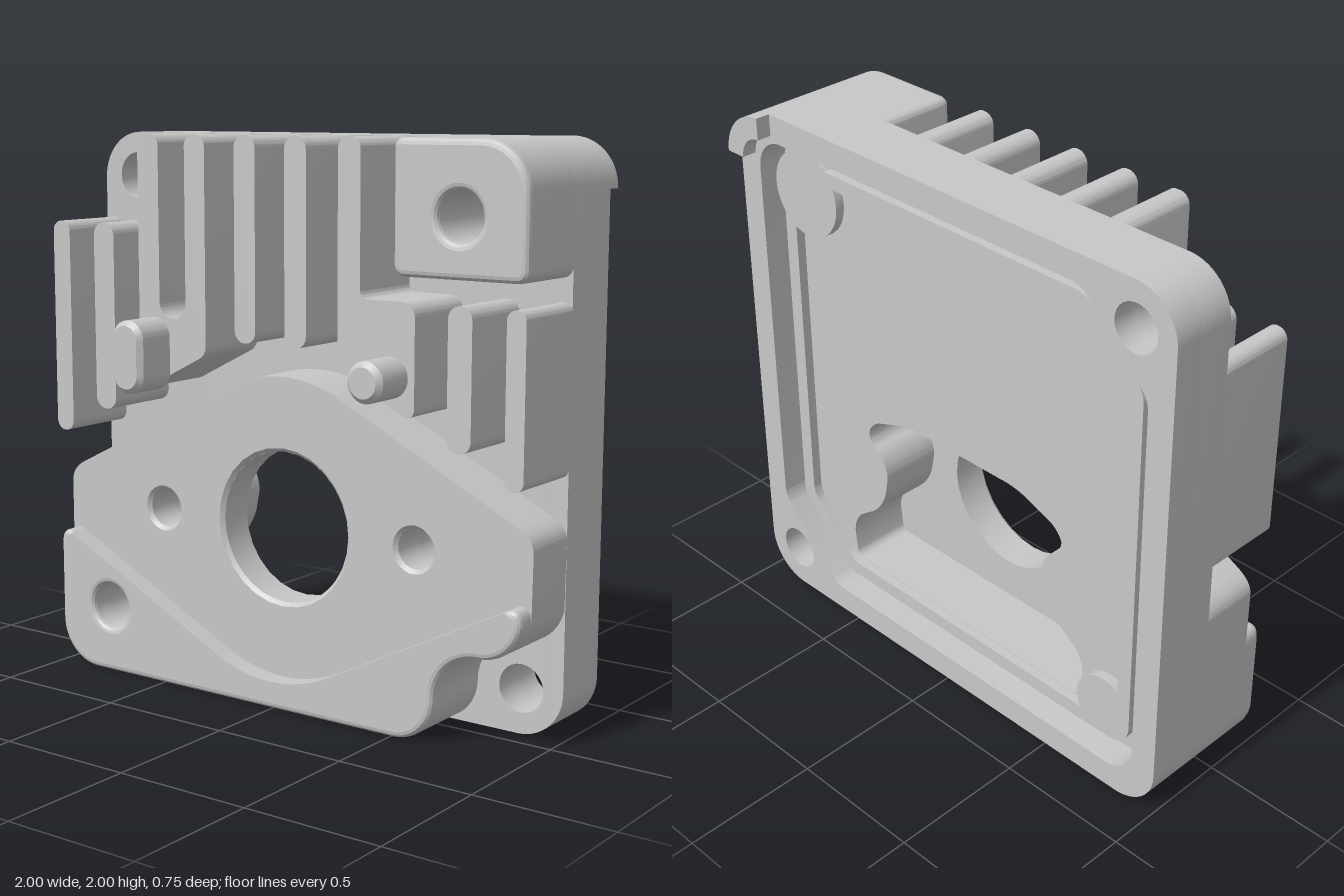
import * as THREE from 'three';
import { toCreasedNormals } from 'three/addons/utils/BufferGeometryUtils.js';

const PI = Math.PI;

// Closed outline from corners [x, y, radius]
function outline(points, Type = THREE.Shape) {
  const s = new Type(), n = points.length, k = 0.5523;
  points.forEach(([x, y, r = 0], i) => {
    const step = (q) => {
      const d = Math.hypot(q[0] - x, q[1] - y);
      return [x + (q[0] - x) * r / d, y + (q[1] - y) * r / d];
    };
    const a = step(points[(i + n - 1) % n]), b = step(points[(i + 1) % n]);
    if (i === 0) s.moveTo(...a); else s.lineTo(...a);
    if (r > 0) {
      s.bezierCurveTo(a[0] + (x - a[0]) * k, a[1] + (y - a[1]) * k,
        b[0] + (x - b[0]) * k, b[1] + (y - b[1]) * k, ...b);
    }
  });
  s.closePath();
  return s;
}

const box = (x0, x1, y0, y1, r) =>
  outline([[x0, y0, r], [x1, y0, r], [x1, y1, r], [x0, y1, r]]);

const circle = (x, y, r) => new THREE.Path().absarc(x, y, r, 0, 2 * PI, false);

function withHoles(shape, ...holes) {
  shape.holes.push(...holes);
  return shape;
}

// Square seal outline with two opposite corners cut off
const seal = (s, c, r, Type) => outline([
  [s - c, 1 - s, 0.04], [s, 1 - s + c, 0.04], [s, 1 + s, r],
  [c - s, 1 + s, 0.04], [-s, 1 + s - c, 0.04], [-s, 1 - s, r],
], Type);

// Bottom edge of the front body, with the scallop around the screw hole
function bodyBottom() {
  const s = new THREE.Shape();
  s.moveTo(-0.83, 0);
  s.lineTo(0.51, 0);
  s.absarc(0.51, 0.16, 0.16, -PI / 2, 0, false);
  s.absarc(0.84, 0.16, 0.17, PI, PI / 2, true);
  s.absarc(0.84, 0.49, 0.16, -PI / 2, -0.2, false);
  return s;
}

function closeBody(s) {
  s.lineTo(-1, 0.17);
  s.absarc(-0.83, 0.17, 0.17, PI, 1.5 * PI, false);
  return s;
}

function flangeShape() {
  const s = bodyBottom();
  s.lineTo(1, 0.69);
  s.quadraticCurveTo(1, 0.74, 0.94, 0.77);
  s.absarc(0, 0.635, 0.54, 1.107, PI - 1.107, false);
  s.lineTo(-0.94, 0.77);
  s.quadraticCurveTo(-1, 0.74, -1, 0.69);
  return closeBody(s);
}

function lowerShape() {
  const s = bodyBottom();
  s.quadraticCurveTo(0.995, 0.535, 0.93, 0.505);
  s.absarc(0, 0.64, 0.54, -1.107, -PI + 1.107, true);
  s.lineTo(-0.93, 0.505);
  s.quadraticCurveTo(-1, 0.535, -1, 0.46);
  return closeBody(s);
}

// Keeps the lower block's edge along the flange face sharp by undoing its bevel inset
function sharpenFlangeEdge(geo) {
  const p = geo.attributes.position;
  for (let i = 0; i < p.count; i++) {
    const x = p.getX(i), y = p.getY(i), dy = y - 0.64;
    const onArc = Math.abs(x) < 0.25, r = Math.hypot(x, dy);
    const nx = onArc ? x / r : Math.sign(x) * 0.447, ny = onArc ? dy / r : -0.894;
    const d = nx * x + ny * dy - 0.54;
    if (Math.abs(d) < 0.03 && Math.abs(x) < 0.95) p.setXY(i, x - nx * d, y - ny * d);
  }
}

// Deep rear pocket, waisted around the two flange screw bosses
function pocket() {
  const right = [[0.58, 0.218, 0.03], [0.6, 0.39, 0.07], [0.42, 0.52, 0.08],
    [0.38, 0.73, 0.08], [0.5, 0.8, 0.05], [0.46, 0.88, 0.04], [0.27, 0.95, 0.05]];
  const left = right.map(([x, y, r]) => [-x, y, r]).reverse();
  return outline([...right, ...left], THREE.Path);
}

export function createModel() {
  const model = new THREE.Group();
  const metal = new THREE.MeshStandardMaterial({ color: 0xc8c8c8 });
  metal.name = 'cast metal grey';

  function add(name, geo) {
    const mesh = new THREE.Mesh(geo, metal);
    mesh.name = name;
    model.add(mesh);
  }

  // Extrudes an outline from z0 to z1; a bevel rounds the front edge, its rear twin is buried
  function slab(name, shape, z0, z1, bevel = 0, steps = 3, adjust = null) {
    const geo = new THREE.ExtrudeGeometry(shape, {
      depth: z1 - z0 - bevel, curveSegments: 14, bevelEnabled: bevel > 0,
      bevelThickness: bevel, bevelSize: bevel, bevelOffset: -bevel, bevelSegments: steps,
    });
    if (adjust) adjust(geo);
    geo.translate(0, 0, z0);
    add(name, toCreasedNormals(geo, 0.25));
  }

  // Base plate: rear rim around the seal groove, raised ridge and shallow cavity floor
  const plate = (hole) => withHoles(box(-1, 1, 0, 2, 0.17),
    circle(-0.84, 1.84, 0.085), circle(0.84, 0.16, 0.085), hole);
  const ridge = () => seal(0.84, 0.245, 0.09);
  slab('rearRim', plate(seal(0.9, 0.28, 0.12, THREE.Path)), -0.32, -0.21);
  slab('sealRidge', withHoles(ridge(), seal(0.785, 0.21, 0.06, THREE.Path)), -0.27, -0.235);
  slab('cavityFloor', withHoles(ridge(), pocket()), -0.235, -0.21);
  slab('basePlate', plate(pocket()), -0.21, -0.08);

  // Rounded bosses in two cavity corners
  for (const [s, r] of [[1, 0.16], [-1, 0.12]]) {
    const boss = new THREE.Shape().absarc(s * 0.72, 1 + s * 0.72, r, 0, 2 * PI, false);
    slab('cavityCornerBoss', boss, -0.27, -0.21);
  }

  // Flange body with chamfered bore and screw holes
  const bores = [[0, 0.64, 0.27], [-0.545, 0.64, 0.07], [0.545, 0.64, 0.07]];
  const blind = () => circle(-0.755, 0.25, 0.085);
  const cut = 0.014;
  slab('flangeBase', withHoles(flangeShape(), pocket(), blind(),
    ...bores.slice(1).map((b) => circle(...b))), -0.08, 0);
  slab('flangeBody', withHoles(flangeShape(), blind(),
    ...bores.map((b) => circle(...b))), 0, 0.14 - cut);
  slab('flangeFace', withHoles(flangeShape(), blind(),
    ...bores.map(([x, y, r]) => circle(x, y, r + cut))), 0.14 - cut, 0.14);
  for (const [x, y, r] of bores) {
    const ring = new THREE.LatheGeometry([new THREE.Vector2(r + cut, cut), new THREE.Vector2(r, 0)], 32);
    add('holeChamfer', ring.rotateX(PI / 2).translate(x, y, 0.14 - cut));
  }
  slab('lowerBlock', withHoles(lowerShape(), blind()), 0.14, 0.215, 0.022, 3, sharpenFlangeEdge);

  // Corner block with screw hole
  const corner = outline([[0.5, 1.555, 0.04], [1, 1.555, 0.04], [1, 2, 0.17], [0.5, 2, 0.03]]);
  slab('cornerBlock', withHoles(corner, circle(0.75, 1.755, 0.085)), -0.08, 0.215, 0.022);

  // Straight cooling fins: x0, x1, y0, y1
  const fins = [
    [-1, -0.92, 0.9, 1.68], [-0.8, -0.705, 1, 1.68],
    [-0.15, -0.06, 1.29, 2], [0.065, 0.155, 1.29, 2],
    [0.715, 0.805, 1, 1.475], [0.93, 1, 0.9, 1.475],
  ];
  for (const [x0, x1, y0, y1] of fins) {
    slab('coolingFin', box(x0, x1, y0, y1, (x1 - x0) * 0.48), -0.08, 0.215);
  }

  // Twin fin joined by a web, and fin with a pad, carrying the locating pins
  slab('twinFin', outline([
    [-0.585, 1.08, 0.05], [-0.28, 1.235, 0.03], [-0.28, 2, 0.04], [-0.37, 2, 0.04],
    [-0.37, 1.355, 0.055], [-0.49, 1.355, 0.055], [-0.49, 2, 0.04], [-0.585, 2, 0.04],
  ]), -0.08, 0.215);
  slab('padFin', outline([
    [0.285, 1.235, 0.03], [0.59, 1.08, 0.05], [0.59, 1.475, 0.05],
    [0.375, 1.475, 0.03], [0.375, 2, 0.04], [0.285, 2, 0.04],
  ]), -0.08, 0.215);
  slab('ovalPin', box(-0.585, -0.445, 1.095, 1.355, 0.068), 0.215, 0.375, 0.018, 1);
  slab('roundPin', new THREE.Shape().absarc(0.495, 1.225, 0.07, 0, 2 * PI, false), 0.215, 0.375, 0.018, 1);

  // Curved lip behind the upper corner
  const lip = new THREE.Shape();
  lip.absarc(0.83, 1.83, 0.17, 0, PI / 2, false);
  lip.absarc(0.83, 1.83, 0.09, PI / 2, 0, true);
  slab('cornerLip', lip, -0.375, -0.32);

  return model;
}
